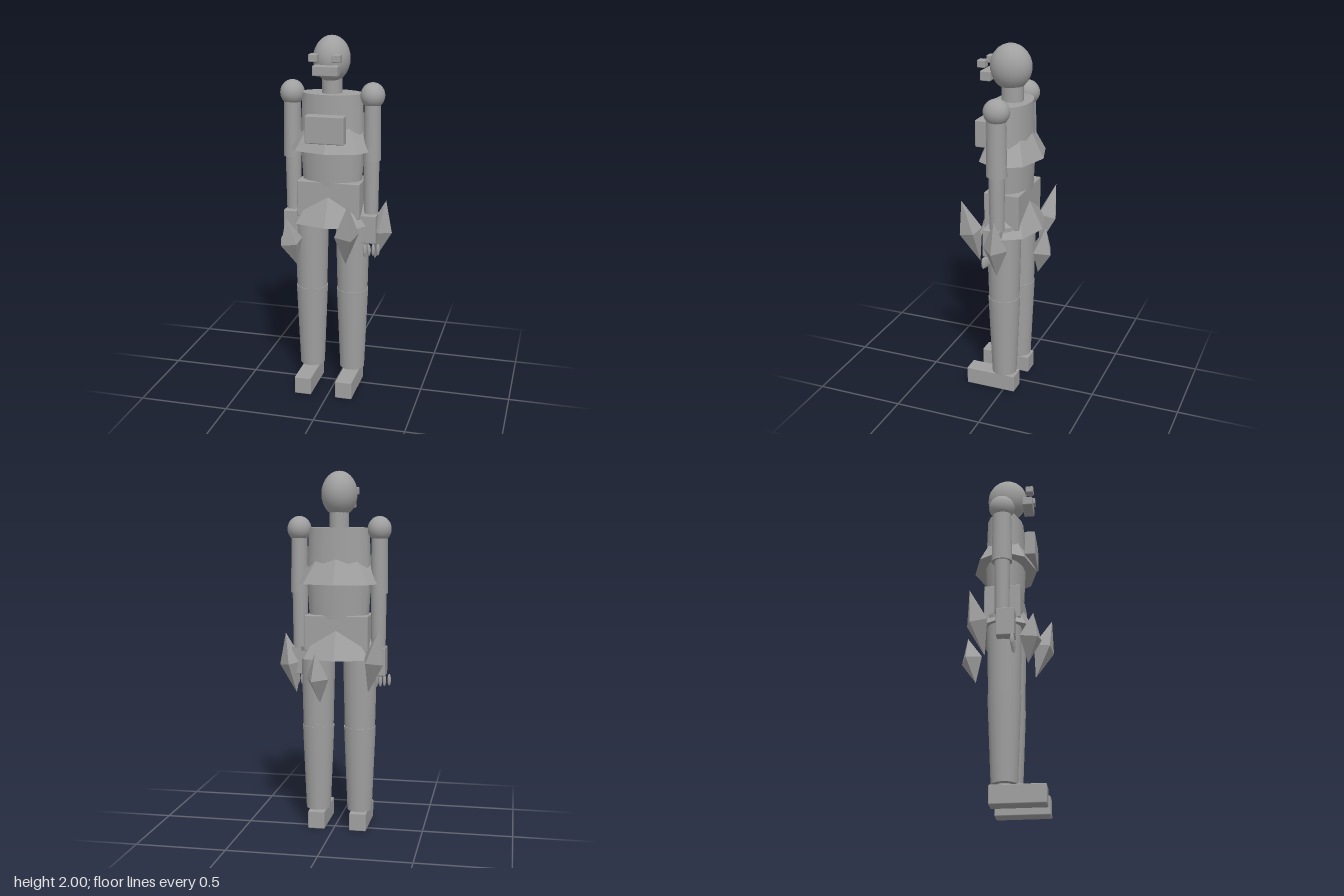
import * as THREE from 'three';
import { RoundedBoxGeometry } from 'three/addons/geometries/RoundedBoxGeometry.js';

export function createModel() {
  const model = new THREE.Group();
  const grey = new THREE.MeshStandardMaterial({ color: 0xa0a0a0 });
  grey.name = 'grey';
  const midX = -0.022; // the body's plane of symmetry

  function add(name, geometry, x, y, z) {
    const mesh = new THREE.Mesh(geometry, grey);
    mesh.name = name;
    mesh.position.set(x, y, z);
    model.add(mesh);
    return mesh;
  }
  const box = (name, w, h, d, x, y, z) =>
    add(name, new RoundedBoxGeometry(w, h, d, 1, Math.min(0.006, w / 6)), x, y, z);
  const ball = (name, rx, ry, rz, x, y, z) =>
    add(name, new THREE.SphereGeometry(1, 20, 14).scale(rx, ry, rz), x, y, z);
  // Tapered upright tube from y0 to y1; depth is the z radius relative to the x radius
  function taper(name, r0, r1, y0, y1, x, z, depth = 1, sides = 16) {
    const g = new THREE.CylinderGeometry(r1, r0, y1 - y0, sides).scale(1, 1, depth);
    return add(name, g, x, (y0 + y1) / 2, z);
  }
  // Eight-sided flared skirt with flat faces
  function skirt(name, y0, y1) {
    const mesh = taper(name, 0.25, 0.125, y0, y1, midX, 0.003, 0.71, 8);
    mesh.geometry = mesh.geometry.toNonIndexed();
    mesh.geometry.computeVertexNormals();
  }

  // Head and face
  ball('head', 0.099, 0.124, 0.115, midX, 1.876, 0.013);
  taper('neck', 0.055, 0.055, 1.68, 1.8, midX, 0.005, 1.1);
  for (const s of [-1, 1]) box('eye', 0.048, 0.042, 0.045, midX + s * 0.062, 1.895, 0.15);
  box('mouth', 0.138, 0.054, 0.06, midX, 1.828, 0.135);

  // Torso
  taper('chest', 0.183, 0.168, 1.39, 1.695, midX, 0.002, 0.62);
  box('chestPlate', 0.214, 0.15, 0.062, midX, 1.52, 0.15);
  skirt('chestSkirt', 1.39, 1.57);
  taper('waist', 0.166, 0.18, 1.2, 1.4, midX, 0.002, 0.63);
  box('hips', 0.352, 0.2, 0.2, midX, 1.12, 0.003);
  skirt('hipSkirt', 0.98, 1.16);

  // Arms and legs, mirrored
  for (const s of [-1, 1]) {
    const armX = midX + s * 0.223;
    ball('shoulder', 0.066, 0.07, 0.072, armX, 1.687, 0.006);
    taper('upperArm', 0.049, 0.044, 1.338, 1.66, armX, 0.007, 1.17);
    taper('forearm', 0.04, 0.044, 1.03, 1.345, midX + s * 0.22, 0.008, 1);
    box('hand', 0.092, 0.16, 0.1, midX + s * 0.216, 0.96, 0.028);
    [0.2, 0.224, 0.247, 0.274].forEach((dx, i) => {
      ball('finger', 0.01, 0.034, 0.012, midX + s * dx, 0.835 + i * 0.004, 0.067);
    });

    const legX = midX + s * 0.118;
    taper('thigh', 0.086, 0.097, 0.583, 1.04, legX, 0.008);
    taper('shin', 0.07, 0.09, 0.11, 0.59, legX, 0.008);
    taper('ankle', 0.04, 0.04, 0.08, 0.12, legX, 0.008);
    box('foot', 0.096, 0.102, 0.295, legX, 0.051, 0.079);
  }

  // Five crystals around the hips, given as upper and lower tips
  const crystals = [
    [0.125, 1.14, 0.25, 0.09, 0.78, 0.155],
    [-0.24, 1.02, 0.175, -0.19, 0.75, 0.14],
    [0.28, 1.11, -0.005, 0.22, 0.77, 0.003],
    [-0.27, 1.16, -0.165, -0.2, 0.8, -0.09],
    [0.068, 1.03, -0.225, 0.05, 0.75, -0.175],
  ];
  for (const c of crystals) {
    const top = new THREE.Vector3(c[0], c[1], c[2]);
    const bottom = new THREE.Vector3(c[3], c[4], c[5]);
    const middle = top.clone().add(bottom).multiplyScalar(0.5);
    const axis = top.clone().sub(bottom);
    const length = axis.length();
    axis.normalize();
    const outward = new THREE.Vector3(middle.x - midX, 0, middle.z);
    const side = new THREE.Vector3().crossVectors(axis, outward).normalize();
    const facing = new THREE.Vector3().crossVectors(side, axis);
    const g = new THREE.OctahedronGeometry(1).scale(0.07, length / 2, 0.066);
    const mesh = add('hipCrystal', g, middle.x, middle.y, middle.z);
    mesh.quaternion.setFromRotationMatrix(new THREE.Matrix4().makeBasis(side, axis, facing));
  }
  return model;
}
